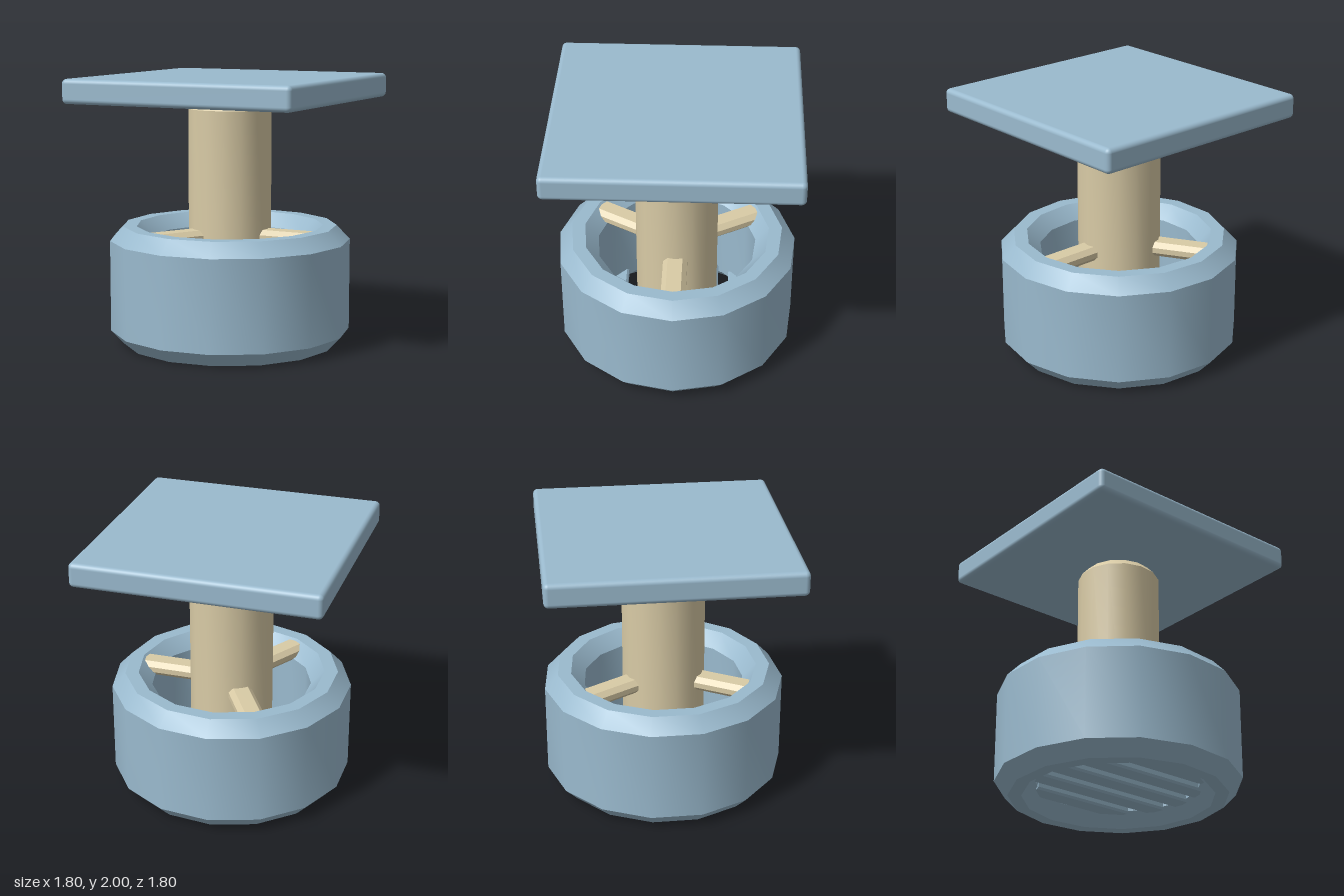
import * as THREE from 'three';
import { toCreasedNormals } from 'three/addons/utils/BufferGeometryUtils.js';
import { RoundedBoxGeometry } from 'three/addons/geometries/RoundedBoxGeometry.js';

const SIDES = 15;

export function createModel() {
  const model = new THREE.Group();
  model.name = 'valveCap';

  const blue = new THREE.MeshStandardMaterial({ color: 0x9abace });
  blue.name = 'softBlue';
  const tan = new THREE.MeshStandardMaterial({ color: 0xd9cba6 });
  tan.name = 'sand';

  const add = (name, geometry, material, parent = model) => {
    const mesh = new THREE.Mesh(geometry, material);
    mesh.name = name;
    parent.add(mesh);
    return mesh;
  };

  // Turned part with one corner on +x, smooth round the sides, sharp at chamfers
  const turned = (profile) => toCreasedNormals(
    new THREE.LatheGeometry(profile.map(([r, y]) => new THREE.Vector2(r, y)), SIDES, Math.PI / 2),
    Math.PI / 6);

  // Bar with chamfered long edges, running along x from 0 to length
  const bar = (length, width, height, c) => {
    const w = width / 2, h = height / 2;
    const section = new THREE.Shape([
      [-w + c, -h], [w - c, -h], [w, -h + c], [w, h - c],
      [w - c, h], [-w + c, h], [-w, h - c], [-w, -h + c],
    ].map(([x, y]) => new THREE.Vector2(x, y)));
    return new THREE.ExtrudeGeometry(section, { depth: length, bevelEnabled: false })
      .rotateY(Math.PI / 2);
  };

  // Square top plate
  add('topPlate', new RoundedBoxGeometry(1.8, 0.18, 1.8, 4, 0.035), blue).position.y = 1.91;

  // Central column
  add('column', turned([
    [0, 0.14], [0.25, 0.14], [0.31, 0.2], [0.31, 1.76], [0.25, 1.825], [0, 1.825],
  ]), tan);

  // Thick ring with chamfers inside and outside
  add('baseRing', turned([
    [0.7, 0], [0.8, 0], [0.9, 0.105], [0.9, 0.785], [0.8, 0.89],
    [0.7, 0.89], [0.6, 0.785], [0.6, 0.105], [0.7, 0],
  ]), blue);

  // Three spokes joining the column to the ring
  const spokes = new THREE.Group();
  spokes.name = 'spokes';
  model.add(spokes);
  for (let i = 0; i < 3; i++) {
    const spoke = add('spoke', bar(0.52, 0.18, 0.11, 0.035).translate(0.2, 0.82, 0), tan, spokes);
    spoke.rotation.y = i * Math.PI * 2 / 3;
  }

  // Grate of parallel slats across the bottom
  const grate = new THREE.Group();
  grate.name = 'grate';
  model.add(grate);
  for (let i = -2; i <= 2; i++) {
    const z = i * 0.24;
    const half = Math.sqrt(0.64 ** 2 - z * z);
    add('slat', bar(half * 2, 0.16, 0.09, 0.015).translate(-half, 0.13, z), blue, grate);
  }

  return model;
}
